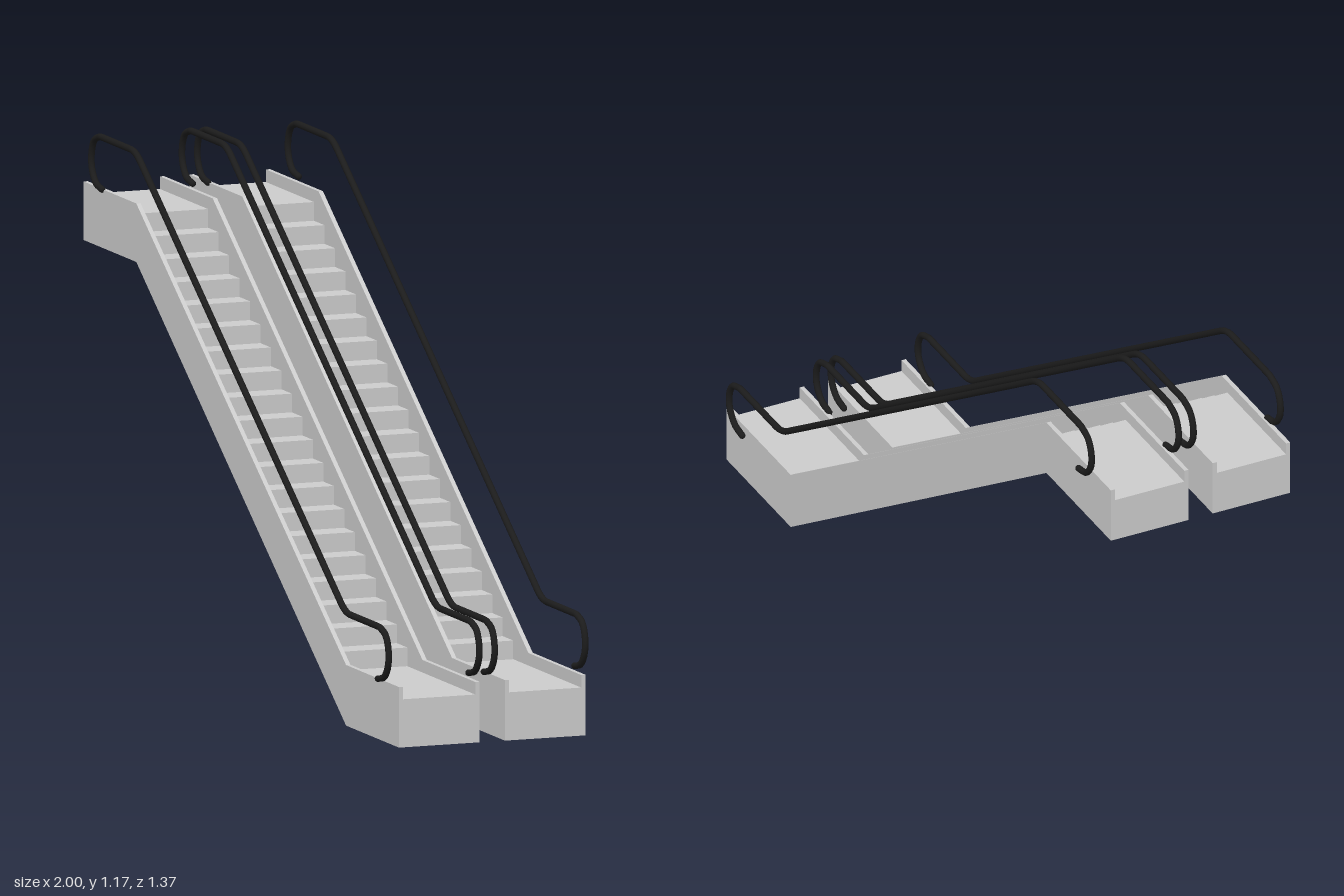
import * as THREE from 'three';

const HALF = 1.0075;   // half length along the run
const KINK = 0.67;     // where the slope meets the landings
const TOP = 0.895;     // rise between landings
const WIDTH = 0.205;
const WALL = 0.011;
const STEPS = 20;

const grey = new THREE.MeshStandardMaterial({ color: 0xcccccc });
const black = new THREE.MeshStandardMaterial({ color: 0x1c1c1c });

// Extrude a side profile (run, height) across the width, centred on z
function slab(points, width, z, name) {
  const shape = new THREE.Shape(points.map(([x, y]) => new THREE.Vector2(x, y)));
  const geo = new THREE.ExtrudeGeometry(shape, { depth: width, bevelEnabled: false });
  geo.translate(0, 0, z - width / 2);
  const mesh = new THREE.Mesh(geo, grey);
  mesh.name = name;
  return mesh;
}

const underside = [[-HALF, TOP + 0.005], [-KINK, TOP + 0.005], [KINK, 0], [HALF, 0]];

function sideWall(z) {
  const rim = [[HALF, 0.145], [KINK, 0.145], [-KINK, TOP + 0.145], [-HALF, TOP + 0.145]];
  return slab([...underside, ...rim], WALL, z, 'sideWall');
}

// Landings and steps in one stepped block
function stepBlock() {
  const run = (2 * KINK) / STEPS, rise = TOP / STEPS;
  const stairs = [[HALF, 0.115]];
  for (let i = STEPS - 1; i >= 0; i--) {
    const x = -KINK - 0.03 + i * run;
    const y = 0.115 + TOP - i * rise;
    stairs.push([x, y - rise], [x, y]);
  }
  stairs.push([-HALF, TOP + 0.115]);
  return slab([...underside, ...stairs], WIDTH - 2 * WALL, 0, 'stepsAndLandings');
}

// Handrail: curled ends, flat runs and a straight slope with softened kinks
function handrail(z) {
  const v = (x, y) => new THREE.Vector3(x, y, z);
  const curl = [[0.878, 0.145], [0.918, 0.155], [0.943, 0.187], [0.945, 0.222], [0.928, 0.255], [0.89, 0.27]];
  const upper = curl.map(([x, y]) => v(-x - 0.007, y + TOP));
  const lower = curl.map(([x, y]) => v(x, y)).reverse();
  const slope = TOP / (2 * KINK), soft = 0.03;
  const yTop = 0.27 + TOP, yLow = 0.27;
  const a = v(-KINK - soft, yTop), b = v(-KINK + soft, yTop - soft * slope);
  const c = v(KINK - soft, yLow + soft * slope), d = v(KINK + soft, yLow);

  const path = new THREE.CurvePath();
  path.add(new THREE.CatmullRomCurve3(upper));
  path.add(new THREE.LineCurve3(upper[5], a));
  path.add(new THREE.QuadraticBezierCurve3(a, v(-KINK, yTop), b));
  path.add(new THREE.LineCurve3(b, c));
  path.add(new THREE.QuadraticBezierCurve3(c, v(KINK, yLow), d));
  path.add(new THREE.LineCurve3(d, lower[0]));
  path.add(new THREE.CatmullRomCurve3(lower));

  const group = new THREE.Group();
  group.name = 'handrail';
  const tube = new THREE.Mesh(new THREE.TubeGeometry(path, 200, 0.008, 10), black);
  tube.name = 'handrailTube';
  group.add(tube);
  for (const p of [upper[0], lower[5]]) {
    const cap = new THREE.Mesh(new THREE.SphereGeometry(0.008, 10, 8), black);
    cap.name = 'handrailEnd';
    cap.position.copy(p);
    group.add(cap);
  }
  return group;
}

function escalator(name) {
  const group = new THREE.Group();
  group.name = name;
  group.add(stepBlock());
  for (const s of [-1, 1]) group.add(sideWall(s * (WIDTH - WALL) / 2));
  // Rails sit slightly towards the back of the truss
  for (const s of [-1, 1]) group.add(handrail(-0.011 + s * 0.115));
  return group;
}

export function createModel() {
  const model = new THREE.Group();
  model.name = 'escalatorPair';
  const pair = new THREE.Group();
  pair.name = 'escalators';
  for (const s of [-1, 1]) {
    const e = escalator(s < 0 ? 'backEscalator' : 'frontEscalator');
    e.position.z = s * 0.1345;
    pair.add(e);
  }
  pair.rotation.y = -THREE.MathUtils.degToRad(28.2);
  model.add(pair);
  return model;
}
